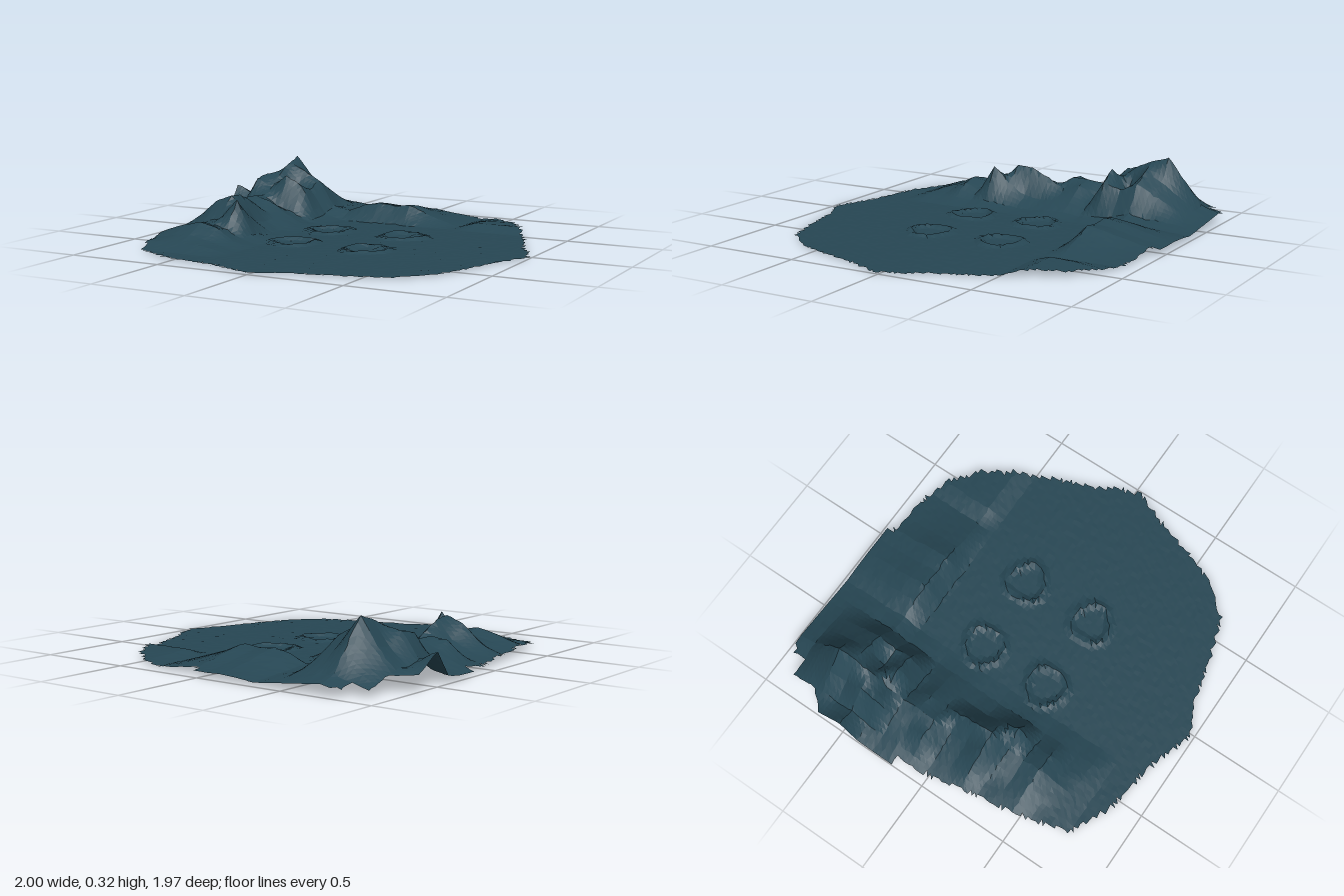
import * as THREE from 'three';

const X0 = -1, Z0 = -0.98, CELL = 0.096, SUB = 4, STEP = CELL / SUB;
const BASE = 0.005;

// Heights (hundredths) on a coarse grid: rows run back to front, columns from x = -1 to -0.42
const MOUNTAINS = [
  [0, 2, 3, 5, 4, 3, 2],
  [2, 3, 5, 8, 7, 5, 3],
  [3, 6, 12, 20, 14, 10, 4],
  [5, 9, 19, 32, 20, 15, 4],
  [10, 9, 17, 29, 25, 20, 6],
  [16, 11, 23, 25, 12, 16, 3],
  [3, 5, 22, 17, 25, 19, 2],
  [2, 5, 11, 14, 8, 5, 1],
  [2, 6, 11, 15, 13, 7, 2],
  [1, 5, 14, 15, 10, 6, 2],
  [0, 3, 5, 8, 16, 5, 1],
  [0, 3, 6, 10, 20, 6, 1],
  [0, 3, 9, 17, 21, 12, 2],
  [0, 2, 4, 8, 10, 21, 3],
  [0, 2, 5, 7, 9, 6, 2],
  [0, 2, 6, 9, 11, 9, 3],
  [0, 1, 3, 5, 6, 4, 2],
  [0, 1, 3, 3, 3, 3, 2],
];

// Low ridge along the back, continuing the columns to the right, and its fall-off by row
const RIDGE = [4, 8, 10, 9, 10, 6, 3, 0, 3, 3, 3, 3];
const RIDGE_FALL = [0.25, 0.4, 0.6, 0.85, 1];

// Shore outline
const OUTLINE = [
  [-0.73, -1], [0, -1], [0.05, -0.94], [0.3, -0.92], [0.45, -0.88], [0.6, -0.76],
  [0.7, -0.6], [0.82, -0.36], [0.88, -0.2], [0.95, -0.08], [0.99, 0.03], [0.91, 0.2],
  [0.85, 0.4], [0.77, 0.6], [0.62, 0.77], [0.4, 0.84], [0.15, 0.9], [-0.02, 0.98],
  [-0.13, 0.94], [-0.3, 0.89], [-0.55, 0.85], [-0.77, 0.75], [-0.82, 0.62], [-0.87, 0.4],
  [-0.9, 0.2], [-0.94, 0], [-0.96, -0.18], [-1.02, -0.2], [-1.02, -0.62], [-0.905, -0.74],
  [-0.905, -0.88], [-0.81, -0.88], [-0.81, -0.95],
];

// Shallow craters: centre x, centre z
const CRATERS = [[-0.21, -0.17], [0.21, -0.19], [-0.21, 0.22], [0.21, 0.22]];

// Repeatable noise in -1..1 for a grid point
function noise(i, j, seed) {
  const s = Math.sin(i * 127.1 + j * 311.7 + seed * 74.7) * 43758.5453;
  return 2 * (s - Math.floor(s)) - 1;
}

function insideOutline(x, z) {
  let inside = false;
  for (let a = 0, b = OUTLINE.length - 1; a < OUTLINE.length; b = a++) {
    const [xa, za] = OUTLINE[a], [xb, zb] = OUTLINE[b];
    if ((za > z) !== (zb > z) && x < xa + (z - za) * (xb - xa) / (zb - za)) inside = !inside;
  }
  return inside;
}

function coarseHeight(c, r) {
  if (c < 7) return (MOUNTAINS[r]?.[c] ?? 0) / 100;
  return (RIDGE[c - 7] ?? 0) * (RIDGE_FALL[r] ?? 0) / 100;
}

// Bilinear blend between the coarse heights
function hillHeight(x, z) {
  const u = Math.max(0, (x - X0) / CELL), v = Math.max(0, (z - Z0) / CELL);
  const c = Math.floor(u), r = Math.floor(v), fu = u - c, fv = v - r;
  const back = THREE.MathUtils.lerp(coarseHeight(c, r), coarseHeight(c + 1, r), fu);
  const front = THREE.MathUtils.lerp(coarseHeight(c, r + 1), coarseHeight(c + 1, r + 1), fu);
  return THREE.MathUtils.lerp(back, front, fv);
}

// Raised, uneven rim around a slightly sunken floor
function craterHeight(x, z) {
  let h = 0;
  for (const [cx, cz] of CRATERS) {
    const d = Math.hypot(x - cx, z - cz), angle = Math.atan2(z - cz, x - cx);
    const rim = 0.105 + 0.008 * Math.sin(3 * angle + cx * 9);
    h += 0.016 * Math.max(0, 1 - Math.abs(d - rim) / 0.028);
    if (d < rim) h -= 0.004 * Math.min(1, (rim - d) / 0.03);
  }
  return h;
}

// Fine grid sheet, trimmed to a ragged edge by the outline
function terrainGeometry() {
  const nx = 84, nz = 83, positions = [], index = [];
  for (let j = 0; j <= nz; j++) {
    for (let i = 0; i <= nx; i++) {
      const jx = i === 0 ? 0 : noise(i, j, 1) * 0.005;
      const jz = j === 0 ? 0 : noise(i, j, 2) * 0.005;
      const x = X0 + i * STEP + jx, z = Z0 + j * STEP + jz;
      const y = BASE + hillHeight(x, z) + craterHeight(x, z) + noise(i, j, 3) * 0.0007;
      positions.push(x, Math.max(0, y), z);
    }
  }
  const addTriangle = (...corners) => {
    const mean = k => corners.reduce((sum, p) => sum + positions[p * 3 + k], 0) / 3;
    if (insideOutline(mean(0), mean(2))) index.push(...corners);
  };
  for (let j = 0; j < nz; j++) {
    for (let i = 0; i < nx; i++) {
      const a = j * (nx + 1) + i, b = a + 1, c = a + nx + 1, d = c + 1;
      addTriangle(a, c, b);
      addTriangle(b, c, d);
    }
  }
  const geometry = new THREE.BufferGeometry();
  geometry.setAttribute('position', new THREE.Float32BufferAttribute(positions, 3));
  geometry.setIndex(index);
  // Drop the unused grid points outside the shore
  const sheet = geometry.toNonIndexed();
  sheet.computeVertexNormals();
  return sheet;
}

export function createModel() {
  const group = new THREE.Group();
  group.name = 'island';
  const material = new THREE.MeshStandardMaterial({
    color: 0x264653, flatShading: true, side: THREE.DoubleSide,
  });
  const terrain = new THREE.Mesh(terrainGeometry(), material);
  terrain.name = 'terrain';
  group.add(terrain);
  return group;
}
